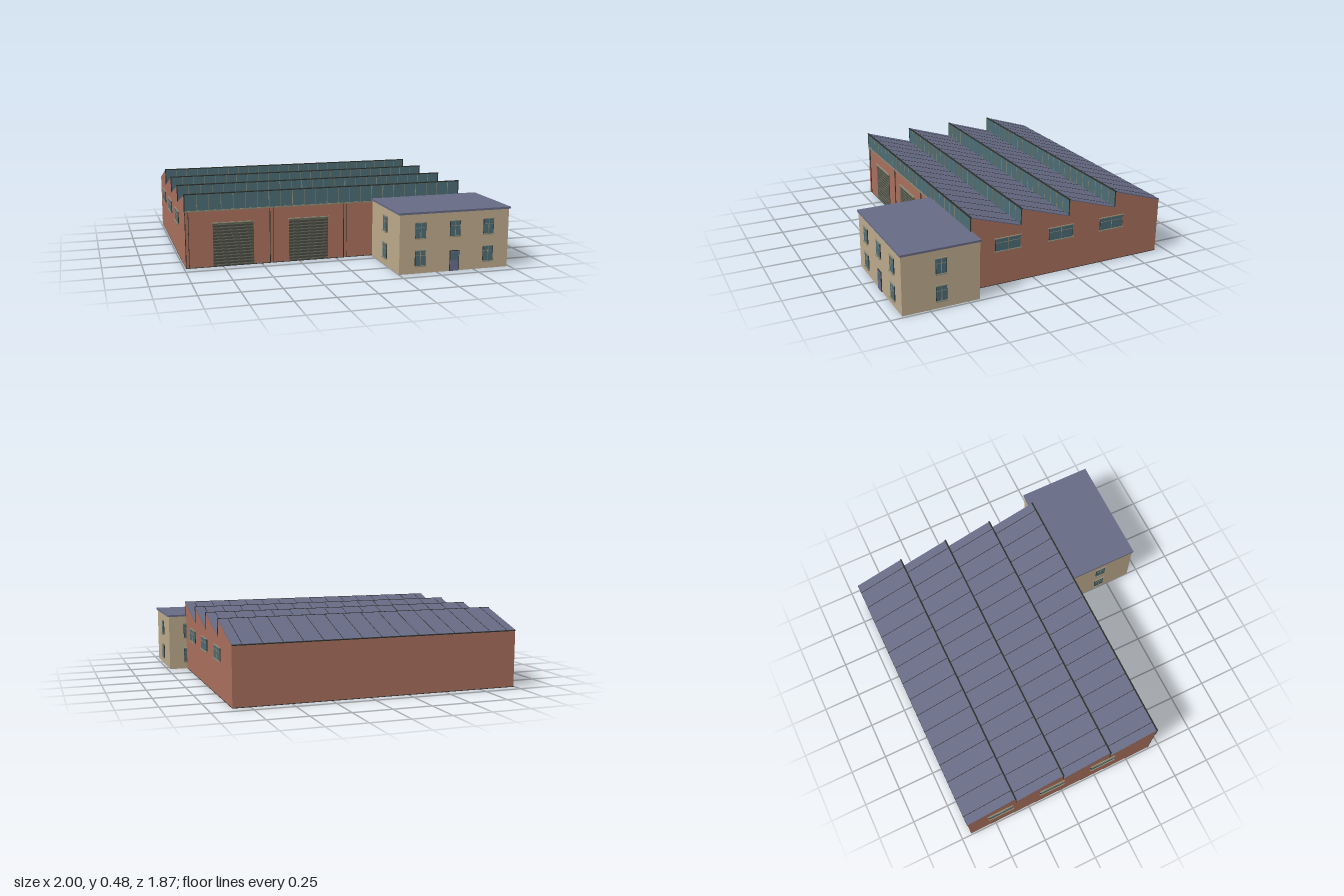
import * as THREE from 'three';

const mat = (name, color, side = THREE.FrontSide) => {
  const m = new THREE.MeshStandardMaterial({ color, side });
  m.name = name;
  return m;
};

export function createModel() {
  const brick = mat('brick', 0xa86f5c);
  const stone = mat('sandstone render', 0xbca98b);
  const slate = mat('slate roof', 0x666a84);
  const glass = mat('glass', 0x4b6b74);
  const dark = mat('dark metal', 0x2c2f2a);
  const shutter = mat('shutter', 0x474a40);
  const slatMat = mat('shutter slat', 0x6a6b5c);
  const frame = mat('window frame', 0x8f8a74);
  const doorMat = mat('door', 0x686c88);

  const model = new THREE.Group();
  model.name = 'factory';

  const box = (parent, name, m, w, h, d, x, y, z) => {
    const mesh = new THREE.Mesh(new THREE.BoxGeometry(w, h, d), m);
    mesh.name = name;
    mesh.position.set(x, y, z);
    parent.add(mesh);
    return mesh;
  };
  const group = (parent, name) => {
    const g = new THREE.Group();
    g.name = name;
    parent.add(g);
    return g;
  };

  // Hall dimensions
  const X0 = -0.99, X1 = 0.86, W = X1 - X0, XC = (X0 + X1) / 2;
  const ZF = 0.425, PITCH = 0.339, TEETH = 4, LOW = 0.365, HIGH = 0.472;
  const ZB = ZF - PITCH * TEETH;

  // Hall body: sawtooth profile extruded across the width
  const hall = group(model, 'hall');
  const profile = new THREE.Shape();
  profile.moveTo(-ZF, 0.004);
  profile.lineTo(-ZB, 0.004);
  profile.lineTo(-ZB, LOW);
  for (let i = TEETH - 1; i >= 0; i--) {
    const z = ZF - i * PITCH;
    profile.lineTo(-z, HIGH);
    if (i > 0) profile.lineTo(-z, LOW);
  }
  const bodyGeo = new THREE.ExtrudeGeometry(profile, { depth: W, bevelEnabled: false });
  bodyGeo.rotateY(Math.PI / 2).translate(X0, 0, 0);
  const body = new THREE.Mesh(bodyGeo, brick);
  body.name = 'hallWalls';
  hall.add(body);
  box(hall, 'hallFloor', dark, W, 0.004, ZF - ZB, XC, 0.002, (ZF + ZB) / 2);

  // Sawtooth roof bays: sloped slab with seams, glazed north light, ridge cap
  const drop = HIGH - LOW, slopeLen = Math.hypot(drop, PITCH);
  for (let i = 0; i < TEETH; i++) {
    const z = ZF - i * PITCH;
    const bay = group(hall, 'roofBay' + (i + 1));
    const slope = group(bay, 'roofSlope');
    slope.position.set(0, (HIGH + LOW) / 2 + 0.002, z - PITCH / 2);
    slope.rotation.x = -Math.atan2(drop, PITCH);
    box(slope, 'roofSheet', slate, W, 0.008, slopeLen, XC, 0, 0);
    for (let k = 0; k < 15; k++) {
      box(slope, 'roofSeam', dark, 0.003, 0.002, slopeLen, X0 + (k + 0.5) * W / 15, 0.0045, 0);
    }
    box(bay, 'northLight', glass, W, 0.104, 0.004, XC, 0.422, z + 0.002);
    for (let k = 0; k <= 24; k++) {
      const end = k % 24 === 0;
      box(bay, 'mullion', end ? dark : frame, end ? 0.006 : 0.003, 0.104, 0.003,
        X0 + k * W / 24, 0.422, z + 0.005);
    }
    box(bay, 'glazingSill', frame, W, 0.008, 0.01, XC, 0.368, z + 0.003);
    box(bay, 'ridgeCap', dark, W + 0.008, 0.006, 0.01, XC, 0.477, z + 0.003);
  }
  box(hall, 'rearGutter', dark, W, 0.006, 0.006, XC, 0.366, ZB);

  // Window facing +z, origin at its centre on the wall
  const addWindow = (parent, name, w, h, x, y, z, turn) => {
    const g = group(parent, name);
    g.position.set(x, y, z);
    g.rotation.y = turn;
    box(g, 'surround', dark, w, h, 0.004, 0, 0, 0.002);
    box(g, 'pane', glass, w - 0.006, h - 0.006, 0.004, 0, 0, 0.004);
    box(g, 'uprightBar', frame, 0.004, h - 0.006, 0.003, 0, 0, 0.006);
    box(g, 'crossBar', frame, w - 0.006, 0.003, 0.003, 0, h * 0.18, 0.006);
    box(g, 'sill', frame, w + 0.008, 0.006, 0.012, 0, -h / 2, 0.006);
    box(g, 'lintel', frame, w + 0.008, 0.005, 0.008, 0, h / 2, 0.004);
  };

  // Three side windows on each long wall
  for (let i = 0; i < 3; i++) {
    addWindow(hall, 'hallWindowLeft', 0.172, 0.084, X1, 0.268, 0.18 - i * 0.373, Math.PI / 2);
    addWindow(hall, 'hallWindowRight', 0.172, 0.084, X0, 0.268, 0.045 - i * 0.373, -Math.PI / 2);
  }

  // Roller doors
  for (const x of [-0.683, -0.188]) {
    const g = group(hall, 'rollerDoor');
    box(g, 'curtain', shutter, 0.262, 0.28, 0.004, x, 0.144, ZF + 0.002);
    for (let k = 0; k < 14; k++) {
      box(g, 'slat', slatMat, 0.262, 0.006, 0.003, x, 0.014 + k * 0.02, ZF + 0.0055);
    }
    box(g, 'doorHead', frame, 0.274, 0.006, 0.01, x, 0.285, ZF + 0.005);
  }

  // Front piers with dark edges
  for (const x of [-0.978, -0.435, 0.06]) {
    box(hall, 'pierShadowGap', dark, 0.024, 0.36, 0.004, x, 0.184, ZF + 0.002);
    box(hall, 'pier', brick, 0.016, 0.36, 0.007, x, 0.184, ZF + 0.0035);
  }

  // Office block
  const office = group(model, 'office');
  const OX0 = 0.25, OX1 = 0.983, OZ0 = 0.426, OZ1 = 0.922;
  const OXC = (OX0 + OX1) / 2, OZC = (OZ0 + OZ1) / 2;
  box(office, 'officeWalls', stone, OX1 - OX0, 0.376, OZ1 - OZ0, OXC, 0.188, OZC);
  box(office, 'officeRoof', slate, 0.75, 0.013, 0.508, OXC, 0.382, OZC);

  // Office windows, front door and side windows
  const ROWS = [0.097, 0.272];
  for (const y of ROWS) {
    for (const x of [0.387, 0.617, 0.845]) {
      if (x !== 0.617 || y !== ROWS[0]) {
        addWindow(office, 'officeFrontWindow', 0.07, 0.1, x, y, OZ1, 0);
      }
    }
    addWindow(office, 'officeBackWindow', 0.07, 0.1, 0.845, y, OZ0, Math.PI);
    addWindow(office, 'officeLeftWindow', 0.07, 0.1, OX1, y, 0.675, Math.PI / 2);
    addWindow(office, 'officeRightWindow', 0.07, 0.1, OX0, y, 0.675, -Math.PI / 2);
  }
  box(office, 'doorSurround', dark, 0.064, 0.132, 0.004, 0.617, 0.066, OZ1 + 0.002);
  box(office, 'frontDoor', doorMat, 0.056, 0.126, 0.004, 0.617, 0.064, OZ1 + 0.004);
  box(office, 'doorLight', glass, 0.044, 0.05, 0.003, 0.617, 0.095, OZ1 + 0.006);

  return model;
}
